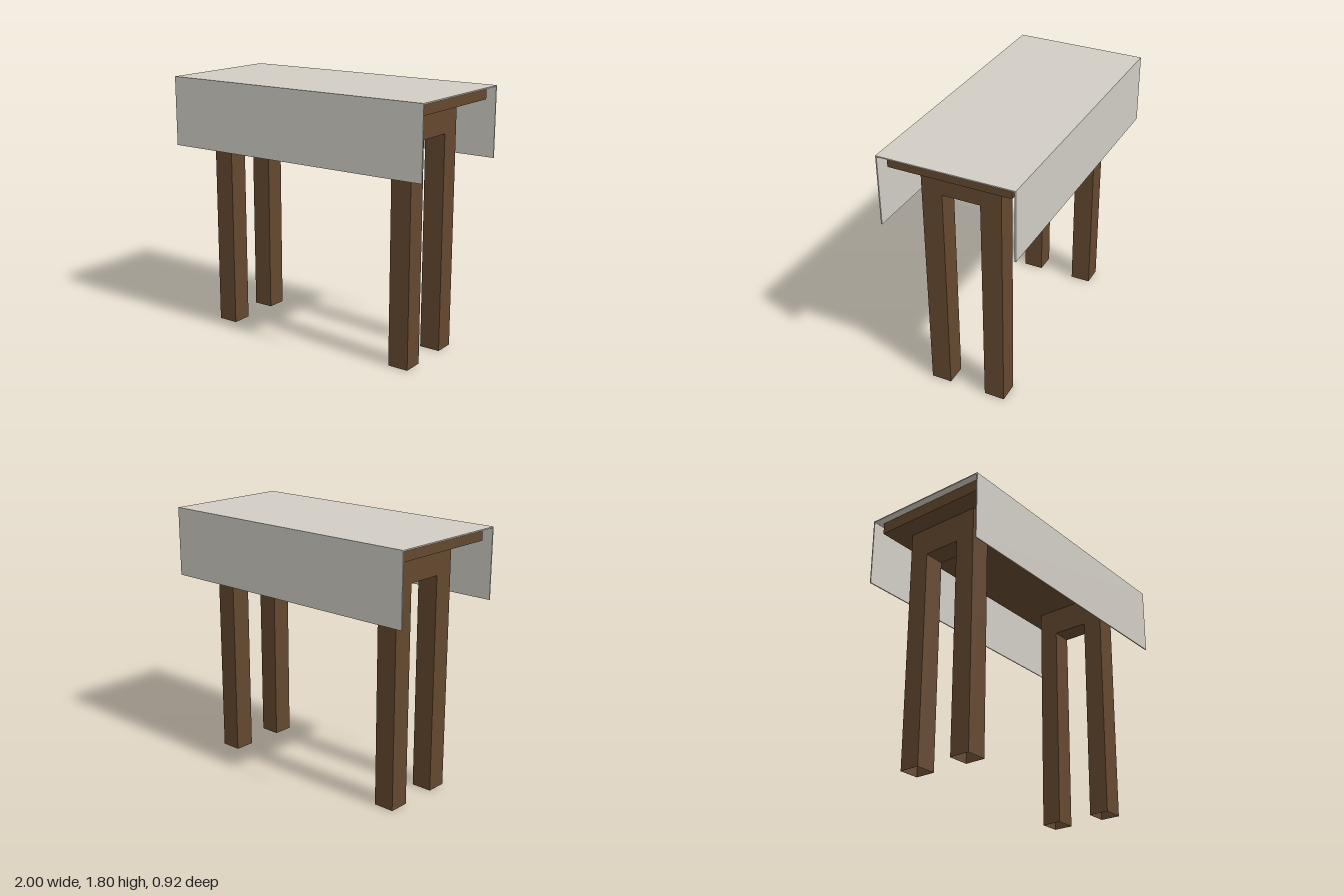
import * as THREE from 'three';

const wood = new THREE.MeshStandardMaterial({ color: 0x64482f, side: THREE.DoubleSide });
const cloth = new THREE.MeshStandardMaterial({ color: 0xd1cdc5, side: THREE.DoubleSide });

// Box given by its two extreme corners
function slab(name, material, [x0, y0, z0], [x1, y1, z1]) {
  const geometry = new THREE.BoxGeometry(x1 - x0, y1 - y0, z1 - z0);
  geometry.translate((x0 + x1) / 2, (y0 + y1) / 2, (z0 + z1) / 2);
  const mesh = new THREE.Mesh(geometry, material);
  mesh.name = name;
  return mesh;
}

// Hollow leg: a box whose bottom face is left out
function openLeg(name, min, max) {
  const leg = slab(name, wood, min, max);
  const index = Array.from(leg.geometry.index.array);
  index.splice(18, 6);
  leg.geometry.setIndex(index);
  leg.geometry.clearGroups();
  return leg;
}

// Cloth: thin upside-down U section drawn along the table's length
function makeCloth() {
  const w = 0.462, t = 0.008, top = 1.797, hem = 1.314;
  const section = new THREE.Shape([
    [-w, hem], [-w + t, hem], [-w + t, top - t], [w - t, top - t],
    [w - t, hem], [w, hem], [w, top], [-w, top],
  ].map(([z, y]) => new THREE.Vector2(z, y)));
  const geometry = new THREE.ExtrudeGeometry(section, { depth: 2, bevelEnabled: false });
  geometry.translate(0, 0, -1).rotateY(Math.PI / 2);
  const mesh = new THREE.Mesh(geometry, cloth);
  mesh.name = 'tablecloth';
  return mesh;
}

export function createModel() {
  const table = new THREE.Group();
  table.name = 'table';

  table.add(makeCloth());
  table.add(slab('tabletop', wood, [-0.95, 1.706, -0.415], [0.95, 1.788, 0.415]));

  // A trestle at each end: two legs joined by a flush rail
  for (const [side, x] of [['right', -0.811], ['left', 0.665]]) {
    const trestle = new THREE.Group();
    trestle.name = `${side}Trestle`;
    const x1 = x + 0.146;
    trestle.add(
      openLeg('frontLeg', [x, 0, 0.131], [x1, 1.706, 0.274]),
      openLeg('backLeg', [x, 0, -0.274], [x1, 1.706, -0.131]),
      slab('rail', wood, [x, 1.505, -0.131], [x1, 1.706, 0.131]),
    );
    table.add(trestle);
  }
  return table;
}
